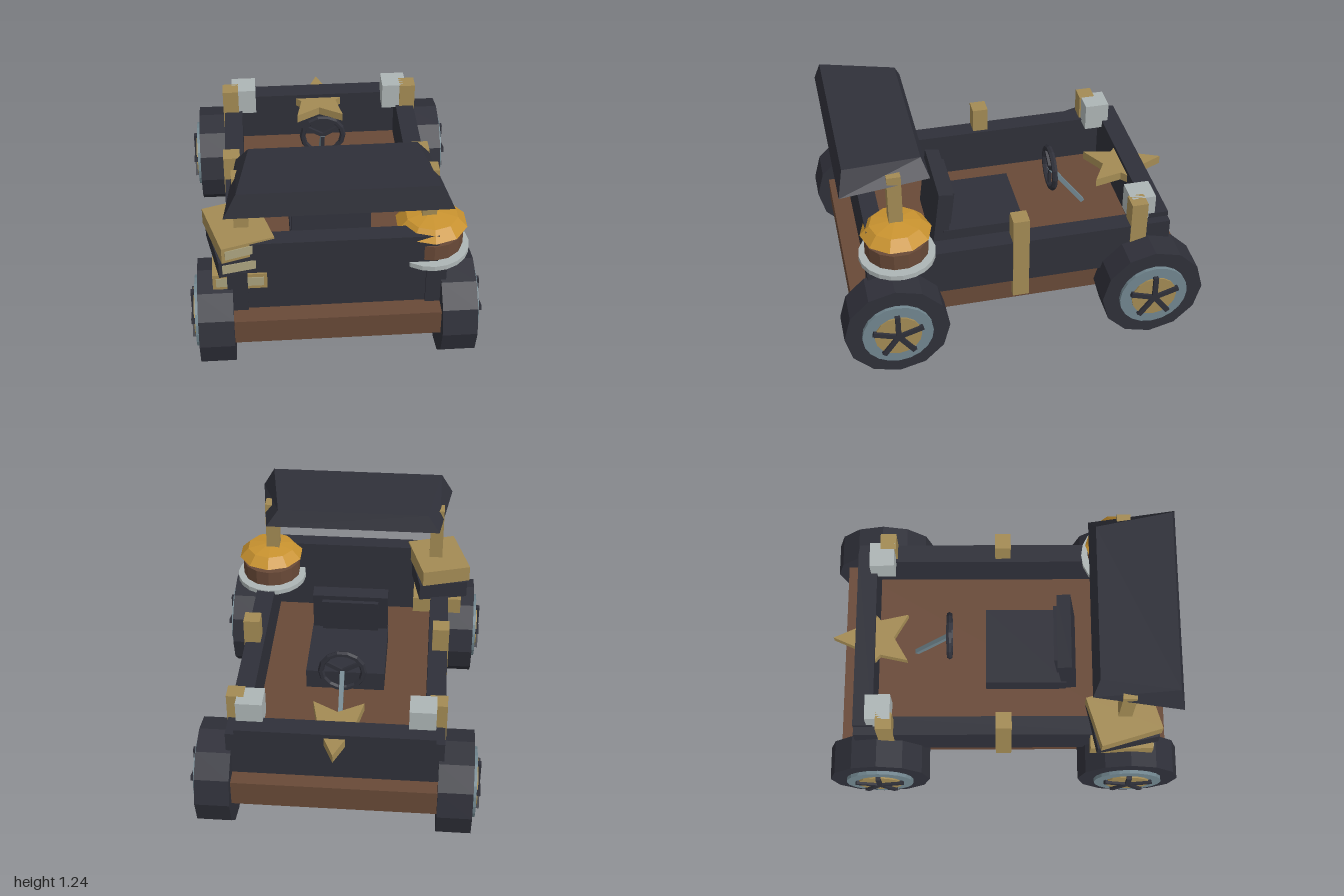
import * as THREE from 'three';

const mat = (name, color) => {
  const m = new THREE.MeshStandardMaterial({ color });
  m.name = name;
  return m;
};

export function createModel() {
  const model = new THREE.Group();
  model.name = 'buggy';
  const dark = mat('charcoal', 0x2f3039);
  const brown = mat('brown', 0x684937);
  const brass = mat('brass', 0xa38b54);
  const amber = mat('amber', 0xc8922f);
  const pale = mat('pale grey', 0xadb5b5);
  const steel = mat('steel blue', 0x71868f);
  const label = mat('label khaki', 0xaaa27e);

  // faceted mesh helper
  function add(parent, name, geo, material) {
    const g = geo.index ? geo.toNonIndexed() : geo;
    g.computeVertexNormals();
    const m = new THREE.Mesh(g, material);
    m.name = name;
    parent.add(m);
    return m;
  }
  // box given by its limits on each axis
  function box(name, material, [x0, x1], [y0, y1], [z0, z1], parent = model) {
    const m = add(parent, name, new THREE.BoxGeometry(x1 - x0, y1 - y0, z1 - z0), material);
    m.position.set((x0 + x1) / 2, (y0 + y1) / 2, (z0 + z1) / 2);
    return m;
  }
  const mirrored = (s, a, b) => (s > 0 ? [a, b] : [-b, -a]);

  // chassis and body panels
  box('chassis', brown, [-0.55, 0.55], [0.24, 0.39], [-0.93, 0.93]);
  box('frontPanel', dark, [-0.53, 0.53], [0.39, 0.833], [0.73, 0.825]);
  box('rearPanel', dark, [-0.53, 0.53], [0.39, 0.685], [-0.842, -0.73]);

  for (const s of [1, -1]) {
    box('sideWall', dark, mirrored(s, 0.47, 0.577), [0.385, 0.655], [-0.84, 0.84]);
    // uprights along each side
    for (const [z, top] of [[0.66, 0.77], [0, 0.8], [-0.66, 0.8]])
      box('sidePost', brass, mirrored(s, 0.49, 0.583), [0.28, top], [z - 0.045, z + 0.045]);
    box('roofPost', brass, mirrored(s, 0.453, 0.53), [0.65, 1.165], [0.625, 0.7]);
    box('rearLamp', pale, mirrored(s, 0.385, 0.527), [0.64, 0.8], [-0.765, -0.625]);
  }

  // canopy: a box narrowed towards the top and the rear
  const roof = new THREE.BoxGeometry(2, 2, 2);
  const p = roof.attributes.position;
  for (let i = 0; i < p.count; i++) {
    const up = p.getY(i) > 0, front = p.getZ(i) > 0;
    const half = (front ? 0.575 : 0.505) - (up ? 0.068 : 0);
    const y = up ? (front ? 1.24 : 1.205) : 1.113;
    const z = front ? (up ? 0.92 : 0.95) : (up ? 0.505 : 0.47);
    p.setXYZ(i, Math.sign(p.getX(i)) * half, y, z);
  }
  add(model, 'canopy', roof, dark);

  // wheels
  for (const s of [1, -1]) for (const z of [0.715, -0.715]) {
    const wheel = new THREE.Group();
    wheel.name = 'wheel';
    wheel.position.set(0, 0.287, z);
    if (s < 0) wheel.rotation.y = Math.PI;
    model.add(wheel);
    const disc = (name, r, x0, x1, sides, material) => {
      const g = new THREE.CylinderGeometry(r, r, x1 - x0, sides);
      g.rotateZ(-Math.PI / 2);
      add(wheel, name, g, material).position.x = (x0 + x1) / 2;
    };
    disc('tyre', 0.287, 0.55, 0.737, 12, dark);
    disc('rim', 0.193, 0.7, 0.757, 20, steel);
    disc('hubPlate', 0.128, 0.74, 0.766, 16, brass);
    for (let i = 0; i < 5; i++) {
      const spoke = new THREE.BoxGeometry(0.02, 0.142, 0.028);
      spoke.translate(0.77, 0.071, 0);
      spoke.rotateX((i * Math.PI * 2) / 5);
      add(wheel, 'spoke', spoke, dark);
    }
  }

  // seat with a slightly tilted backrest
  box('seatCushion', dark, [-0.225, 0.225], [0.385, 0.51], [-0.1, 0.365]);
  const back = new THREE.Group();
  back.name = 'seatBack';
  back.position.set(0, 0.58, 0.365);
  back.rotation.x = -0.12;
  model.add(back);
  box('backrest', dark, [-0.22, 0.22], [-0.18, 0.18], [-0.04, 0.04], back);
  box('backPad', dark, [-0.165, 0.165], [-0.1, 0.15], [-0.062, -0.04], back);

  // steering wheel and column
  const steering = new THREE.Group();
  steering.name = 'steering';
  steering.position.set(0, 0.685, -0.305);
  model.add(steering);
  add(steering, 'steeringRing', new THREE.TorusGeometry(0.119, 0.017, 6, 14), dark);
  for (let i = 0; i < 3; i++) {
    const arm = new THREE.BoxGeometry(0.022, 0.115, 0.016);
    arm.translate(0, 0.057, 0);
    arm.rotateZ(Math.PI / 3 + (i * Math.PI * 2) / 3);
    add(steering, 'steeringArm', arm, dark);
  }
  const column = new THREE.BoxGeometry(0.025, 0.34, 0.025);
  column.translate(0, -0.17, 0);
  add(steering, 'steeringColumn', column, steel).rotation.x = 0.64;

  // flat star through the rear panel, one point to the rear
  const star = new THREE.Shape();
  for (let i = 0; i < 10; i++) {
    const r = i % 2 ? 0.11 : 0.235, a = Math.PI / 2 + (i * Math.PI) / 5;
    star[i ? 'lineTo' : 'moveTo'](r * Math.cos(a), r * Math.sin(a));
  }
  star.closePath();
  const starGeo = new THREE.ExtrudeGeometry(star, { depth: 0.05, bevelEnabled: false });
  starGeo.rotateX(-Math.PI / 2);
  add(model, 'star', starGeo, brass).position.set(0, 0.61, -0.735);

  // round stack on the left front corner
  const stack = new THREE.Group();
  stack.name = 'roundStack';
  stack.position.set(0.508, 0, 0.665);
  model.add(stack);
  const round = (name, pts, sides, material) =>
    add(stack, name, new THREE.LatheGeometry(pts.map(([r, y]) => new THREE.Vector2(r, y)), sides), material);
  round('baseDisc', [[0, 0.633], [0.207, 0.633], [0.207, 0.662], [0, 0.662]], 20, pale);
  round('band', [[0, 0.662], [0.172, 0.675], [0.172, 0.767], [0, 0.767]], 14, brown);
  round('dome', [[0, 0.762], [0.135, 0.764], [0.192, 0.802], [0.14, 0.856], [0, 0.88]], 10, amber);

  // crates on the right front corner, each turned a little further
  const crates = [
    ['lowerCrate', 0.54, 0.638, 0, brass],
    ['middleCrate', 0.645, 0.748, 0.2, dark],
    ['upperCrate', 0.75, 0.845, 0.29, brass],
  ];
  for (const [name, y0, y1, turn, material] of crates) {
    const crate = new THREE.Group();
    crate.name = name;
    crate.position.set(-0.51, (y0 + y1) / 2, 0.66);
    crate.rotation.y = turn;
    model.add(crate);
    const h = (y1 - y0) / 2;
    box('crateBody', material, [-0.143, 0.143], [-h, h], [-0.175, 0.175], crate);
    box('crateLabel', label, [-0.125, 0.125], [-0.028, 0.028], [0.174, 0.179], crate);
  }

  return model;
}
